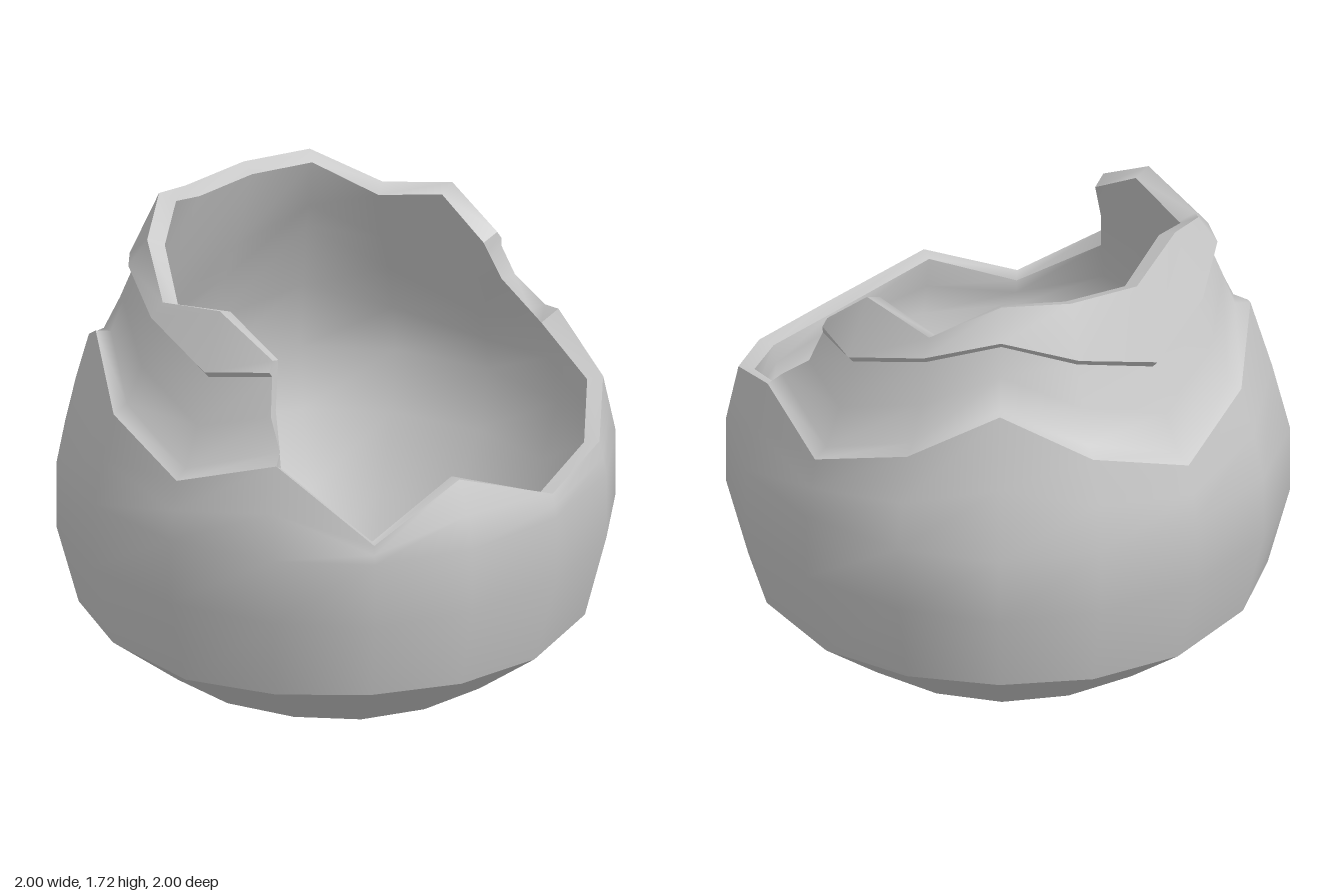
import * as THREE from 'three';

const SIDES = 16;
// Broken edge height of the outer shell, one value per side, turning from +x to +z
const RIM = [0.87, 1.02, 0.85, 1.12, 1.0, 1.12, 1.3, 1.13, 1.0, 1.12, 1.3, 1.12, 1.0, 1.12, 1.0, 0.91];
// Neck shell covers sides 3 to 13
const FIRST = 3, LAST = 13;
const LIP = [1.42, 1.37, 1.47, 1.55, 1.47, 1.36, 1.45, 1.54, 1.45, 1.36, 1.39];
const TOP = [1.45, 1.58, 1.52, 1.65, 1.72, 1.63, 1.64, 1.65, 1.51, 1.575, 1.42];
const FOOT = [0.187, 0.212, 0.225, 0.212];

const shellRadius = (y) => (y < 1 ? 1 - 0.2 * Math.max(0, y - 0.78) : 0.955 - 0.32 * (y - 1));
// The tall chip on side 1 leans inwards
const rimRadius = (i) => (i === 1 ? 0.905 : shellRadius(RIM[i]));
const hasNeck = (i) => i >= FIRST && i <= LAST;

// Point on a slightly squared ring
function point(side, r, y) {
  const t = (side / SIDES) * Math.PI * 2;
  const a = t + 0.019 * Math.sin(4 * t);
  const R = r * (1 + 0.02 * Math.sin(2 * t) ** 4);
  return [R * Math.cos(a), y, R * Math.sin(a)];
}

// Smooth surface through columns of points; skip(c, r) leaves cells open
function grid(columns, closed, skip = () => false) {
  const rows = columns[0].length, n = columns.length, index = [];
  for (let c = 0; c < (closed ? n : n - 1); c++) {
    for (let r = 0; r < rows - 1; r++) {
      if (skip(c, r)) continue;
      const a = c * rows + r, b = ((c + 1) % n) * rows + r;
      index.push(a, a + 1, b, b, a + 1, b + 1);
    }
  }
  const g = new THREE.BufferGeometry();
  g.setAttribute('position', new THREE.Float32BufferAttribute(columns.flat(2), 3));
  g.setIndex(index);
  g.computeVertexNormals();
  return g;
}

export function createModel() {
  const group = new THREE.Group();
  const clay = new THREE.MeshStandardMaterial({ color: 0xc9c9c9, side: THREE.DoubleSide });
  clay.name = 'grey clay';
  const add = (name, geometry) => {
    const mesh = new THREE.Mesh(geometry, clay);
    mesh.name = name;
    group.add(mesh);
  };
  const ring = (fn) => RIM.map((_, i) => fn(i));
  const neckSides = TOP.map((_, k) => FIRST + k);

  // Key points of each column
  const footTop = (i) => point(i, i % 4 ? 0.92 : 0.9, FOOT[i % 4]);
  const rimOuter = (i) => point(i, rimRadius(i), RIM[i]);
  const ledge = (i) => point(i, rimRadius(i) - 0.055, RIM[i] + (RIM[i] < 1.2 ? 0.03 : -0.005));
  const rimInner = (i) => (i === FIRST || i === LAST
    ? point(i, rimRadius(i) - 0.07, RIM[i] - 0.04)
    : point(i, rimRadius(i) - 0.057, RIM[i] - 0.01));
  // The broken ends of the neck lean away from the gap
  const lean = (i, t) => i + (i === FIRST ? t : i === LAST ? -2 * t : 0);
  const overhang = (i) => (i === LAST ? 0.005 : 0.024);
  const lipRadius = (i) => 0.766 + overhang(i) - 0.25 * (LIP[i - FIRST] - 1.36);
  const topRadius = (i) => 0.69 - 0.3 * (TOP[i - FIRST] - 1.6);
  const lipUnder = (i) => point(lean(i, 0.19), lipRadius(i) - overhang(i), LIP[i - FIRST] - 0.027);
  const lipEdge = (i) => point(lean(i, 0.2), lipRadius(i), LIP[i - FIRST]);
  const topOuter = (i) => point(lean(i, 0.2), topRadius(i), TOP[i - FIRST]);
  const topInner = (i) => point(lean(i, 0.2), topRadius(i) - 0.063, TOP[i - FIRST] - 0.025);
  const neckMid = (i, inset) => {
    const y = (RIM[i] + LIP[i - FIRST]) / 2;
    const r = (rimRadius(i) - 0.055 + lipRadius(i) - 0.024) / 2;
    return point(lean(i, 0.15), r - inset, y - 0.01);
  };

  // Underside, tapered foot and inside floor
  add('underside', grid(ring((i) => [point(i, 0, 0), point(i, 0.65, 0)]), true));
  add('foot', grid(ring((i) => [point(i, 0.65, 0), footTop(i)]), true));
  add('floor', grid(ring((i) => [point(i, 0.56, 0.07), point(i, 0, 0.07)]), true));

  // Round outer shell and its broken edge
  add('outerShell', grid(ring((i) => {
    const mid = (0.78 + RIM[i]) / 2;
    return [footTop(i), point(i, 1, 0.53), point(i, 1, 0.78),
      point(i, (shellRadius(mid) + (1 + rimRadius(i)) / 2) / 2, mid), rimOuter(i)];
  }), true));
  add('shellEdge', grid(ring((i) => [rimOuter(i), rimInner(i)]), true, (c) => c >= FIRST && c < LAST));

  // Neck rising from a soft ledge, overhanging lip and jagged top
  add('neck', grid(neckSides.map((i) => [rimOuter(i), ledge(i), neckMid(i, 0), lipUnder(i)]), false));
  add('lipUnderside', grid(neckSides.map((i) => [lipUnder(i), lipEdge(i)]), false));
  add('lip', grid(neckSides.map((i) => [lipEdge(i), topOuter(i)]), false));
  add('topEdge', grid(neckSides.map((i) => [topOuter(i), topInner(i)]), false));

  // Hollow inside, from the top down a steep bowl to the floor
  const insideRim = (i) => (i > FIRST && i < LAST ? point(i, rimRadius(i) - 0.1, RIM[i]) : rimInner(i));
  add('innerWall', grid(ring((i) => {
    const rim = insideRim(i), mid = (0.78 + RIM[i]) / 2;
    return [
      hasNeck(i) ? topInner(i) : rim,
      hasNeck(i) ? neckMid(i, 0.06) : rim,
      rim,
      point(i, (rimRadius(i) + 1) / 2 - 0.08, mid - 0.015),
      point(i, 0.915, 0.75), point(i, 0.85, 0.53), point(i, 0.71, 0.27), point(i, 0.56, 0.07),
    ];
  }), true, (c, r) => r < 2 && (c < FIRST || c >= LAST)));

  // Broken ends of the neck
  for (const i of [FIRST, LAST]) {
    const outer = [rimOuter(i), ledge(i), neckMid(i, 0), lipUnder(i), lipEdge(i), topOuter(i)];
    const base = rimInner(i), low = neckMid(i, 0.06), high = topInner(i);
    const between = (a, b, t) => a.map((v, k) => v + (b[k] - v) * t);
    const inner = [base, between(base, low, 0.3), low, between(low, high, 0.6), between(low, high, 0.75), high];
    add('neckEnd', grid(i === FIRST ? [inner, outer] : [outer, inner], false));
  }
  return group;
}
